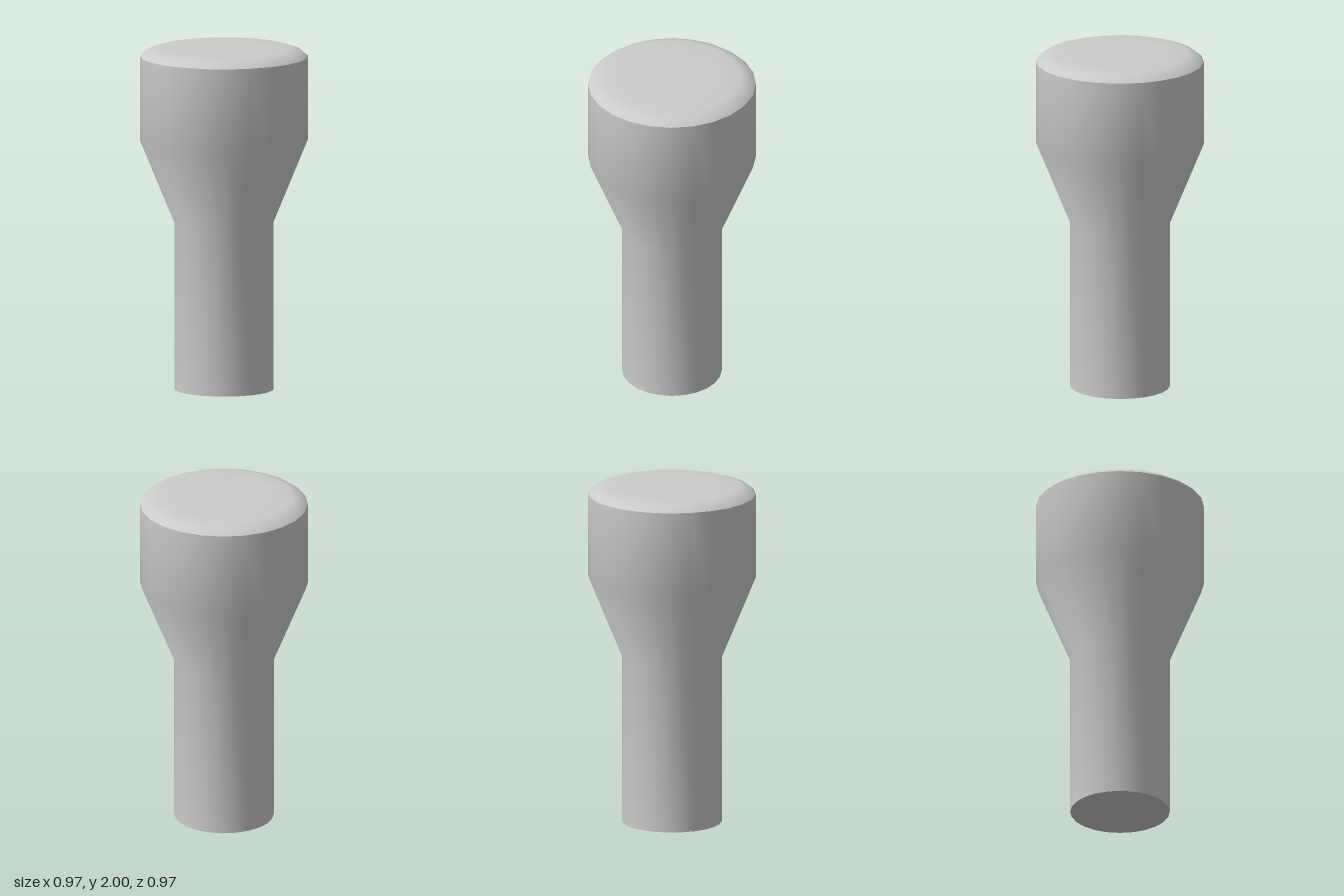
import * as THREE from 'three';

const SIDES = 24;
const STEM_RADIUS = 0.289;
const HEAD_RADIUS = 0.487;

export function createModel() {
  const group = new THREE.Group();
  group.name = 'flaredKnob';
  const material = new THREE.MeshStandardMaterial({ color: 0xcccccc });

  const add = (name, geometry) => {
    const mesh = new THREE.Mesh(geometry, material);
    mesh.name = name;
    group.add(mesh);
    return mesh;
  };
  const lathe = (profile) =>
    new THREE.LatheGeometry(profile.map(([r, y]) => new THREE.Vector2(r, y)), SIDES);

  // Straight stem flaring smoothly into the wider head
  add('body', lathe([
    [STEM_RADIUS, 0], [STEM_RADIUS, 0.98], [HEAD_RADIUS, 1.46], [HEAD_RADIUS, 1.955],
  ]));

  // Rounded shoulder, with a hard edge where it meets the head
  add('topRim', lathe([
    [HEAD_RADIUS, 1.955], [0.455, 1.982], [0.4, 2], [STEM_RADIUS, 2],
  ]));

  // Flat discs closing both ends
  const disc = () => new THREE.CircleGeometry(STEM_RADIUS, SIDES);
  add('topCap', disc().rotateX(-Math.PI / 2)).position.y = 2;
  add('bottomCap', disc().rotateX(Math.PI / 2));

  return group;
}
